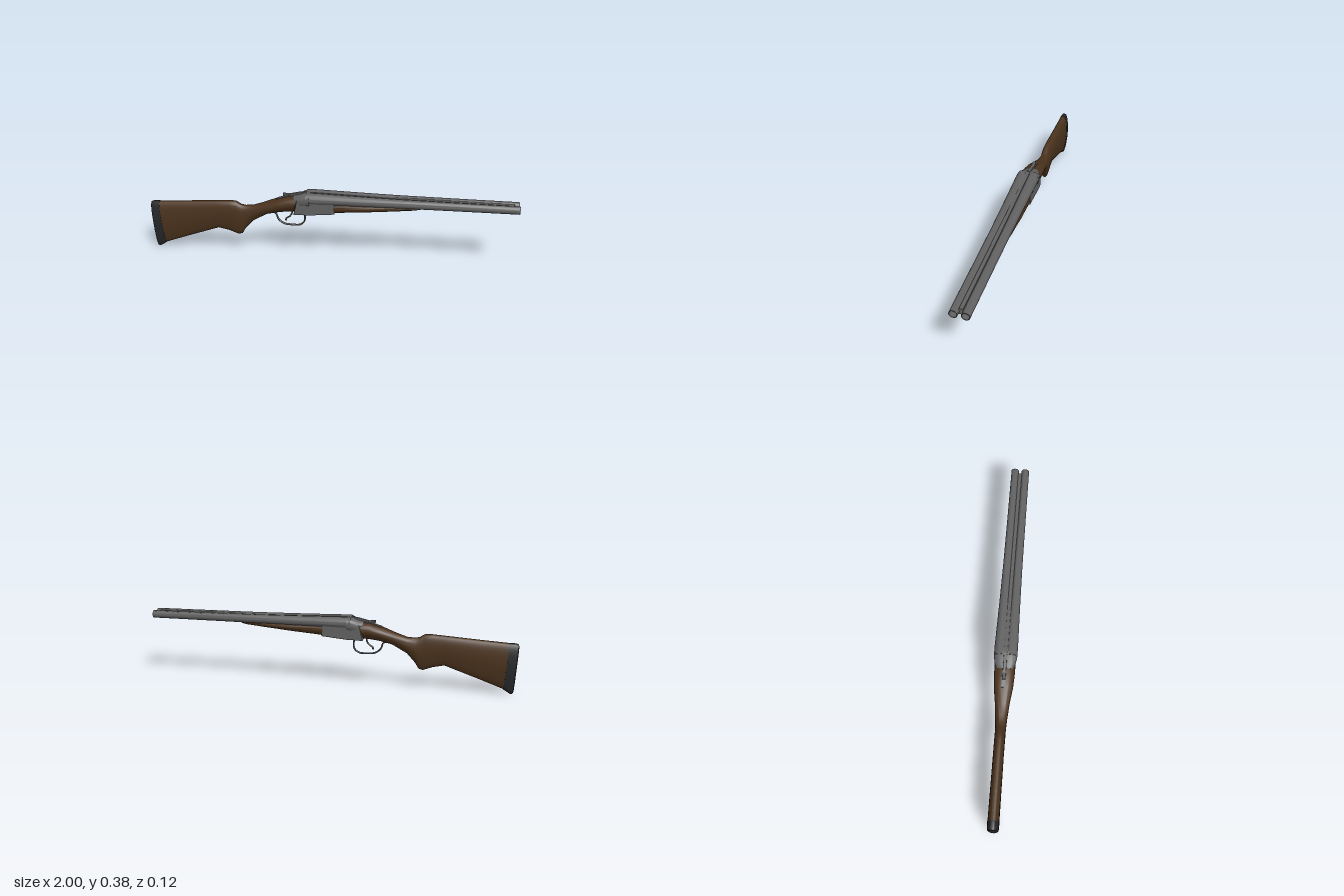
import * as THREE from 'three';
import { toCreasedNormals } from 'three/addons/utils/BufferGeometryUtils.js';

const mat = (name, color) => new THREE.MeshStandardMaterial({ name, color });

// Skin over cross-sections [xTop, yTop, xBottom, yBottom, halfWidth].
// power > 2 makes sections boxier, egg narrows the lower half.
function loft(sections, power = 2.4, egg = 0, n = 32) {
  const pos = [], idx = [];
  const soft = (v) => Math.sign(v) * Math.abs(v) ** (2 / power);
  for (const [xt, yt, xb, yb, w] of sections) {
    for (let j = 0; j < n; j++) {
      const a = (j / n) * Math.PI * 2;
      const s = soft(Math.sin(a)), t = (s + 1) / 2;
      const z = w * soft(Math.cos(a)) * (1 - egg * Math.max(0, -s));
      pos.push(xb + (xt - xb) * t, yb + (yt - yb) * t, z);
    }
  }
  const rows = sections.length;
  for (let i = 0; i < rows - 1; i++) {
    for (let j = 0; j < n; j++) {
      const k = (j + 1) % n, a = i * n + j, d = i * n + k;
      idx.push(a, a + n, d + n, a, d + n, d);
    }
  }
  // End caps
  for (const i of [0, rows - 1]) {
    const [xt, yt, xb, yb] = sections[i], c = pos.length / 3;
    pos.push((xt + xb) / 2, (yt + yb) / 2, 0);
    for (let j = 0; j < n; j++) {
      const a = i * n + j, b = i * n + ((j + 1) % n);
      if (i === 0) idx.push(c, a, b);
      else idx.push(c, b, a);
    }
  }
  const g = new THREE.BufferGeometry();
  g.setAttribute('position', new THREE.Float32BufferAttribute(pos, 3));
  g.setIndex(idx);
  return toCreasedNormals(g, 0.7);
}

// Side profile extruded symmetrically across z
function plate(points, halfWidth, bevel = 0) {
  const shape = new THREE.Shape(points.map(([x, y]) => new THREE.Vector2(x, y)));
  const depth = 2 * (halfWidth - bevel);
  const g = new THREE.ExtrudeGeometry(shape, {
    depth, bevelEnabled: bevel > 0, bevelSize: bevel, bevelThickness: bevel,
    bevelOffset: -bevel, bevelSegments: 2,
  });
  return g.translate(0, 0, -depth / 2);
}

// Bent rod in the xy plane, widened across z
function rod(points, radius, widen) {
  const curve = new THREE.CatmullRomCurve3(points.map(([x, y]) => new THREE.Vector3(x, y, 0)));
  return new THREE.TubeGeometry(curve, 40, radius, 10).scale(1, 1, widen);
}

export function createModel() {
  const model = new THREE.Group();
  model.name = 'doubleBarrelShotgun';
  const wood = mat('walnut', 0x4b331d);
  const steel = mat('steel', 0x626263);
  const rubber = mat('blackRubber', 0x27282a);
  const add = (name, geometry, material, z = 0) => {
    const m = new THREE.Mesh(geometry, material);
    m.name = name;
    m.position.z = z;
    model.add(m);
    return m;
  };

  // Butt stock with semi-pistol grip, flaring into the receiver
  add('stock', loft([
    [-0.95, 0.279, -0.932, 0.027, 0.03],
    [-0.8, 0.288, -0.8, 0.075, 0.029],
    [-0.62, 0.3, -0.62, 0.138, 0.028],
    [-0.55, 0.305, -0.56, 0.125, 0.028],
    [-0.515, 0.304, -0.507, 0.105, 0.028],
    [-0.485, 0.286, -0.485, 0.112, 0.028],
    [-0.46, 0.281, -0.465, 0.145, 0.029],
    [-0.42, 0.283, -0.42, 0.195, 0.032],
    [-0.36, 0.302, -0.34, 0.24, 0.039],
    [-0.28, 0.333, -0.27, 0.257, 0.05],
    [-0.22, 0.352, -0.215, 0.264, 0.054],
    [-0.165, 0.356, -0.19, 0.264, 0.054],
  ], 2.5, 0.3), wood);

  // Recoil pad with rounded rear face
  add('recoilPad', loft([
    [-1, 0.262, -0.986, 0.014, 0.02],
    [-0.997, 0.274, -0.982, 0.004, 0.027],
    [-0.985, 0.279, -0.972, 0, 0.03],
    [-0.95, 0.28, -0.932, 0.025, 0.031],
  ], 2.5, 0.3), rubber);

  // Receiver body and rounded breech
  add('receiver', plate([
    [-0.187, 0.262], [-0.1, 0.264], [0.035, 0.277], [0.035, 0.34], [-0.1, 0.345], [-0.168, 0.345],
  ], 0.054, 0.005), steel);
  add('breech', loft([
    [-0.19, 0.358, -0.175, 0.3, 0.042],
    [-0.16, 0.366, -0.16, 0.3, 0.054],
    [-0.125, 0.38, -0.125, 0.305, 0.06],
    [-0.1, 0.382, -0.1, 0.312, 0.062],
  ], 3), steel);

  // Opening lever on the tang
  add('topLever', plate([
    [-0.25, 0.354], [-0.235, 0.352], [-0.12, 0.37], [-0.12, 0.383], [-0.16, 0.376], [-0.215, 0.363], [-0.25, 0.366],
  ], 0.009, 0.002), steel);
  add('tang', plate([
    [-0.285, 0.326], [-0.22, 0.346], [-0.16, 0.35], [-0.16, 0.361], [-0.22, 0.355], [-0.285, 0.334],
  ], 0.011), steel);

  // Pair of tapered barrels with recessed muzzles
  const profile = [
    [0, -0.12], [0.032, -0.12], [0.032, -0.06], [0.0295, 0.05], [0.0265, 0.2], [0.0235, 0.4],
    [0.022, 0.7], [0.021, 1], [0.0175, 1], [0.0175, 0.97], [0, 0.97],
  ].map(([r, y]) => new THREE.Vector2(r, y));
  for (const side of [-1, 1]) {
    const g = new THREE.LatheGeometry(profile, 32).rotateZ(-Math.PI / 2).translate(0, 0.351, 0);
    add(side > 0 ? 'leftBarrel' : 'rightBarrel', toCreasedNormals(g, 0.6), steel, side * 0.029);
  }

  // Ribs joining the barrels above and below
  add('topRib', plate([
    [-0.11, 0.345], [0.975, 0.345], [0.975, 0.367], [0.4, 0.371], [-0.06, 0.382], [-0.11, 0.382],
  ], 0.01), steel);
  add('lowerRib', plate([
    [-0.1, 0.325], [0.4, 0.334], [0.975, 0.335], [0.975, 0.348], [-0.1, 0.348],
  ], 0.013), steel);

  // Forend under the barrels
  add('forend', loft([
    [0.028, 0.342, 0.03, 0.274, 0.055],
    [0.08, 0.342, 0.08, 0.279, 0.056],
    [0.2, 0.341, 0.2, 0.289, 0.054],
    [0.35, 0.34, 0.35, 0.303, 0.047],
    [0.46, 0.339, 0.46, 0.314, 0.038],
    [0.492, 0.337, 0.488, 0.319, 0.03],
  ], 2.7, 0.15), wood);

  // Trigger guard and trigger
  add('triggerGuard', rod([
    [-0.31, 0.252], [-0.292, 0.243], [-0.28, 0.212], [-0.25, 0.187], [-0.205, 0.181],
    [-0.16, 0.184], [-0.136, 0.205], [-0.132, 0.235], [-0.142, 0.27],
  ], 0.0045, 1.9), steel);
  add('trigger', rod([
    [-0.203, 0.272], [-0.204, 0.25], [-0.215, 0.232], [-0.236, 0.216], [-0.238, 0.205],
  ], 0.0045, 1.2), steel);

  return model;
}
